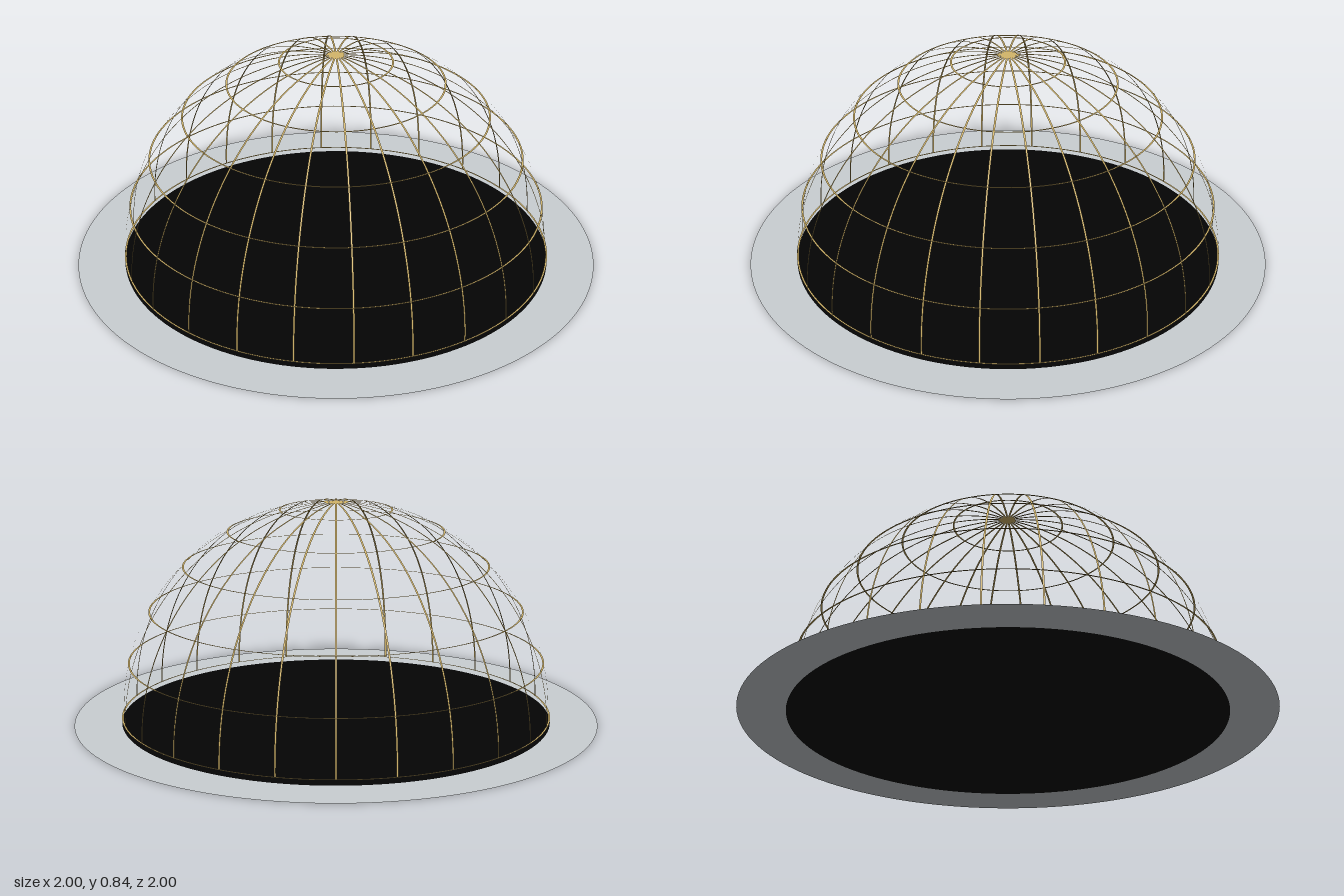
import * as THREE from 'three';

const R = 0.817;     // dome radius
const BASE = 0.02;   // height of the dome's foot
const W = 0.007;     // width of the flat wires
const STEP = Math.PI / 12;

export function createModel() {
  const model = new THREE.Group();
  const material = (name, color) => {
    const m = new THREE.MeshStandardMaterial({ color, side: THREE.DoubleSide });
    m.name = name;
    return m;
  };
  const gold = material('gold', 0xd4b66a);
  const black = material('black', 0x040404);
  const grey = material('grey', 0xcacfd2);

  const add = (name, geometry, mat, y) => {
    const mesh = new THREE.Mesh(geometry, mat);
    mesh.name = name;
    mesh.position.y = y;
    model.add(mesh);
    return mesh;
  };
  const flatRing = (inner, outer) =>
    new THREE.RingGeometry(inner, outer, 128).rotateX(-Math.PI / 2);
  const flatDisc = (r) => new THREE.CircleGeometry(r, 128).rotateX(-Math.PI / 2);

  // Flat ground plate: dark floor with a grey rim
  add('floorDisc', flatDisc(0.82), black, 0);
  add('outerRim', flatRing(0.82, 1), grey, 0);

  // Meridians: ribbons lying on the dome, each running foot to foot
  const arc = new THREE.CylinderGeometry(R, R, W, 96, 1, true, -Math.PI / 2, Math.PI)
    .rotateX(-Math.PI / 2);
  for (let i = 0; i < 12; i++) add('meridian', arc, gold, BASE).rotation.y = i * STEP;

  // Parallels: horizontal flat rings every 15 degrees of latitude
  for (let i = 0; i < 6; i++) {
    const r = R * Math.cos(i * STEP);
    add('parallel', flatRing(r - W / 2, r + W / 2), gold, BASE + R * Math.sin(i * STEP));
  }

  // Small cap where the meridians meet
  add('apexCap', flatDisc(0.026), gold, BASE + R);

  return model;
}
